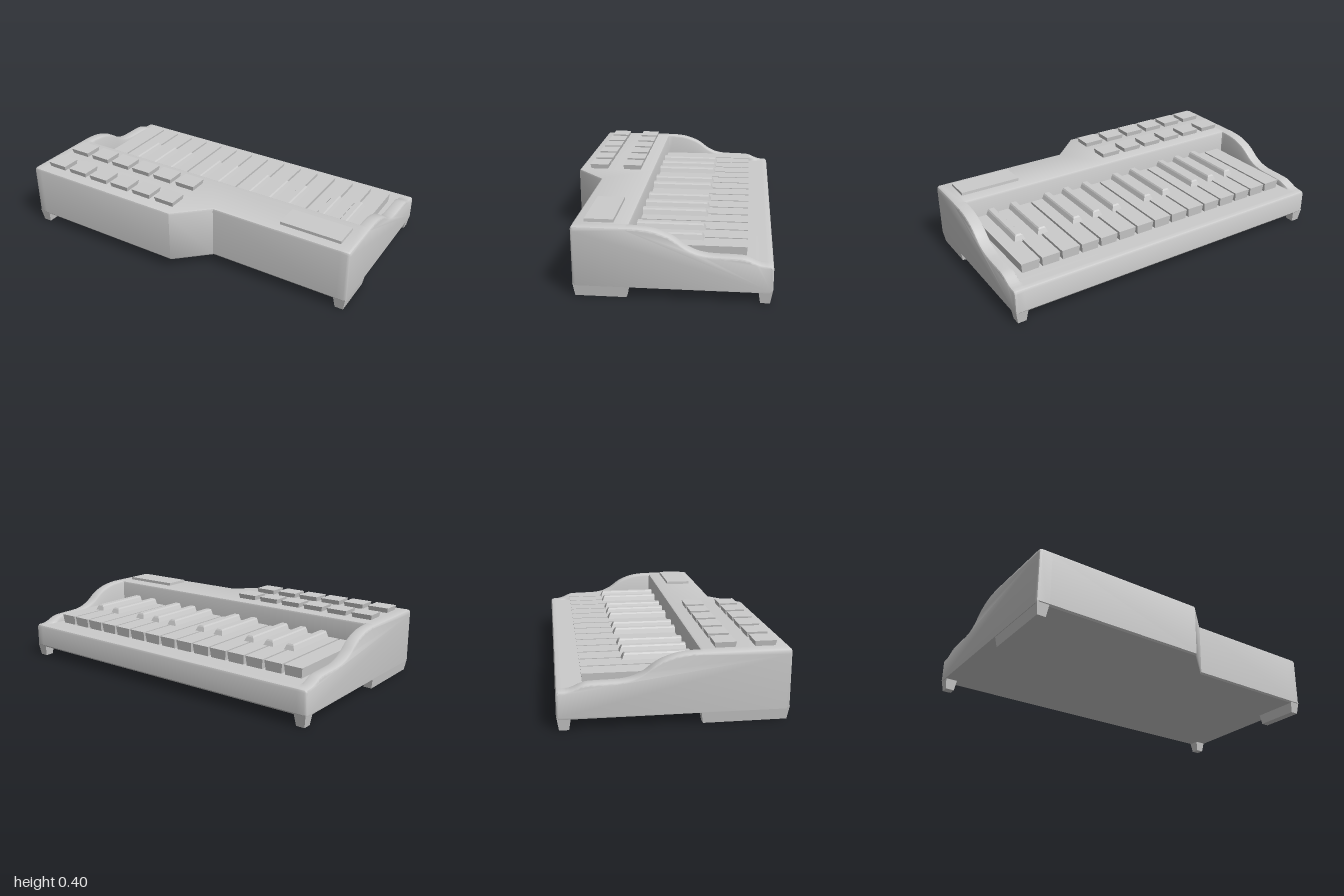
import * as THREE from 'three';
import { toCreasedNormals } from 'three/addons/utils/BufferGeometryUtils.js';

const material = new THREE.MeshStandardMaterial({ color: 0xcccccc });
const BACK = -0.585, TOP = 0.372, FLOOR = 0.2, BASE = 0.06, WALL = 0.13;

// Box between two corners; its top and bottom faces can be inset to taper it.
function block(name, [x0, x1], [y0, y1], [z0, z1], topInset = 0, bottomInset = 0) {
  const w = x1 - x0, h = y1 - y0, d = z1 - z0;
  const geo = new THREE.BoxGeometry(w, h, d);
  const p = geo.attributes.position;
  for (let i = 0; i < p.count; i++) {
    const inset = p.getY(i) > 0 ? topInset : bottomInset;
    p.setX(i, p.getX(i) - Math.sign(p.getX(i)) * inset);
    p.setZ(i, p.getZ(i) - Math.sign(p.getZ(i)) * inset);
  }
  geo.computeVertexNormals();
  const mesh = new THREE.Mesh(geo, material);
  mesh.name = name;
  mesh.position.set((x0 + x1) / 2, (y0 + y1) / 2, (z0 + z1) / 2);
  return mesh;
}

// Front edge of the case: deep on one side, stepped back on the other.
const frontZ = x => THREE.MathUtils.clamp(0.585 - (x / 0.18) * 0.17, 0.415, 0.585);

// Top line of the cheeks, sweeping from the low back up to the deck.
const cheekCurve = new THREE.SplineCurve([
  [-0.57, 0.2], [-0.53, 0.203], [-0.5, 0.212], [-0.45, 0.232], [-0.4, 0.237],
  [-0.3, 0.239], [-0.25, 0.243], [-0.2, 0.255], [-0.15, 0.28], [-0.1, 0.317],
  [-0.05, 0.343], [0.02, 0.364], [0.1, 0.372],
].map(([z, y]) => new THREE.Vector2(z, y))).getPoints(48);

// Cross-section at x: inset rounds the ends, drop lowers the cheek into the key well.
function section(x, inset, drop) {
  const f = frontZ(x) - inset, b = BACK + inset;
  const top = (z, cheek, well) => [z, Math.max(well, cheek - drop) - inset];
  return [
    [b + 0.008, BASE], [b, BASE + 0.01], [b, 0.184], [b + 0.005, 0.195 - inset],
    ...cheekCurve.map(v => top(v.x, v.y, FLOOR)),
    top(WALL - 0.001, TOP, FLOOR), top(WALL, TOP, TOP - 0.014),
    top(WALL + 0.004, TOP, TOP - 0.004), top(WALL + 0.014, TOP, TOP),
    [f - 0.014, TOP - inset], [f - 0.004, TOP - 0.004 - inset], [f, TOP - 0.014 - inset],
    [f, BASE + 0.01], [f - 0.008, BASE],
  ];
}

// Case lofted along x through the cross-sections, closed by flat ends.
function makeCase() {
  const side = [[1, 0.012, 0], [0.996, 0.004, 0], [0.986, 0, 0], [0.946, 0, 0],
    [0.934, 0, 0.004], [0.93, 0, 0.014], [0.928, 0, 1]];
  const stations = [
    ...side.map(([x, i, d]) => [-x, i, d]), [0, 0, 1], [0.18, 0, 1], ...[...side].reverse(),
  ];
  const rings = stations.map(s => section(...s));
  const n = rings[0].length, pos = [], index = [];
  rings.forEach((ring, i) => ring.forEach(([z, y]) => pos.push(stations[i][0], y, z)));
  for (let i = 0; i < rings.length - 1; i++) {
    for (let j = 0; j < n; j++) {
      const k = (j + 1) % n, a = i * n + j, b = i * n + k;
      index.push(a, b, b + n, a, b + n, a + n);
    }
  }
  for (const [ring, offset, sign] of [[rings[0], 0, 1], [rings.at(-1), (rings.length - 1) * n, -1]]) {
    const pts = ring.map(([z, y]) => new THREE.Vector2(z, y));
    for (const [a, b, c] of THREE.ShapeUtils.triangulateShape(pts, [])) {
      const area = THREE.ShapeUtils.area([pts[a], pts[b], pts[c]]);
      const t = area * sign > 0 ? [a, b, c] : [a, c, b];
      index.push(...t.map(v => v + offset));
    }
  }
  const geo = new THREE.BufferGeometry();
  geo.setAttribute('position', new THREE.Float32BufferAttribute(pos, 3));
  geo.setIndex(index);
  const mesh = new THREE.Mesh(toCreasedNormals(geo, 0.6), material);
  mesh.name = 'case';
  return mesh;
}

export function createModel() {
  const model = new THREE.Group();
  model.name = 'keyboardSynth';
  model.add(makeCase());

  // White keys
  const whiteKeys = new THREE.Group();
  whiteKeys.name = 'whiteKeys';
  for (let i = 0; i < 15; i++) {
    const x = -0.84 + i * 0.12;
    whiteKeys.add(block('whiteKey', [x - 0.054, x + 0.054], [FLOOR - 0.005, 0.255], [-0.455, WALL + 0.01], 0, 0.006));
  }

  // Black keys
  const blackKeys = new THREE.Group();
  blackKeys.name = 'blackKeys';
  for (const x of [-0.674, -0.54, -0.41, -0.19, -0.056, 0.166, 0.3, 0.43, 0.65, 0.79]) {
    blackKeys.add(
      block('blackKey', [x - 0.034, x + 0.034], [0.25, 0.28], [-0.236, WALL + 0.03], 0.012),
      block('blackKeyTop', [x - 0.022, x + 0.022], [0.28, 0.288], [-0.224, WALL + 0.02], 0.006),
    );
  }

  // Two rows of push buttons
  const buttons = new THREE.Group();
  buttons.name = 'buttons';
  for (const z of [0.26, 0.465]) {
    for (const x of [-0.87, -0.71, -0.553, -0.397, -0.24, -0.08]) {
      buttons.add(block('button', [x - 0.063, x + 0.063], [TOP - 0.005, 0.4], [z - 0.056, z + 0.056], 0, 0.006));
    }
  }

  // Plain raised plate on the deck
  const plate = block('deckPlate', [0.57, 0.925], [TOP - 0.005, 0.389], [0.21, 0.358]);

  // Feet: small at the back corners, long rails at the front
  const feet = new THREE.Group();
  feet.name = 'feet';
  for (const s of [-1, 1]) {
    const xs = s < 0 ? [-0.998, -0.928] : [0.928, 0.998];
    feet.add(
      block('backFoot', xs, [0, BASE + 0.012], [-0.583, -0.512], 0, 0.011),
      block('frontFoot', xs, [0, BASE + 0.012], [0.13, frontZ(s) - 0.002], 0, 0.011),
    );
  }

  model.add(whiteKeys, blackKeys, buttons, plate, feet);
  return model;
}
